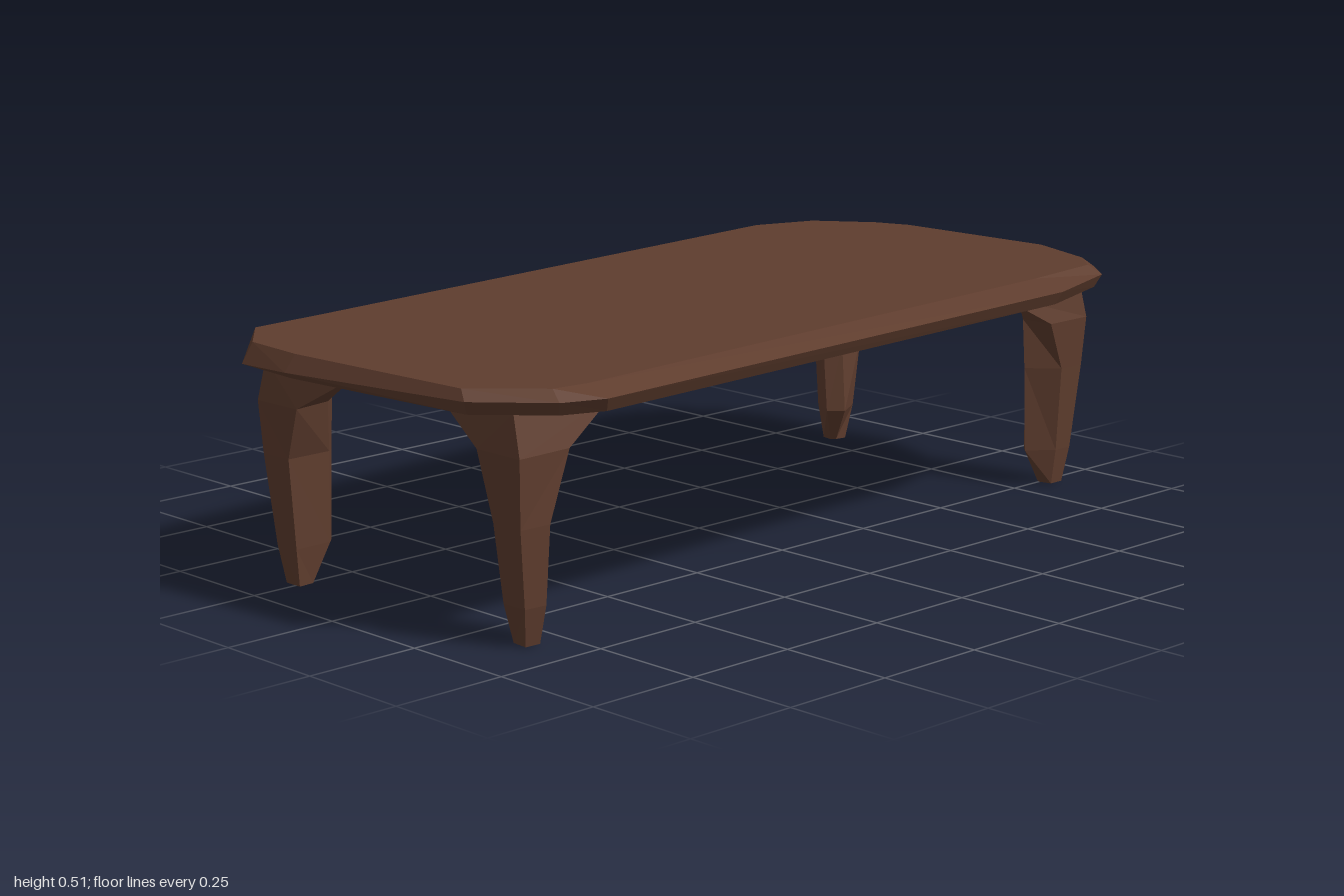
import * as THREE from 'three';

const wood = new THREE.MeshStandardMaterial({ color: 0x5f3d2e });
wood.name = 'dark brown wood';

// Skins a stack of equal-length rings (bottom to top) and caps both ends, flat shaded.
// Each ring is { y, points: [[x, z], ...] }, a point's third value overriding its height;
// flip is for rings that run the other way round.
function loft(rings, flip) {
  const positions = [];
  const tri = (a, b, c) => positions.push(...a, ...(flip ? c : b), ...(flip ? b : c));
  const loops = rings.map(({ y, points }) => points.map(([x, z, h = y]) => [x, h, z]));
  const n = loops[0].length;
  const centre = (loop) => [0, 1, 2].map((k) => loop.reduce((s, p) => s + p[k], 0) / n);
  const bottom = loops[0], top = loops[loops.length - 1];
  const low = centre(bottom), high = centre(top);
  for (let i = 0; i < n; i++) {
    const j = (i + 1) % n;
    for (let k = 0; k < loops.length - 1; k++) {
      const lo = loops[k], hi = loops[k + 1];
      tri(lo[i], hi[i], hi[j]);
      tri(lo[i], hi[j], lo[j]);
    }
    tri(low, bottom[i], bottom[j]);
    tri(high, top[j], top[i]);
  }
  const geometry = new THREE.BufferGeometry();
  geometry.setAttribute('position', new THREE.Float32BufferAttribute(positions, 3));
  geometry.computeVertexNormals();
  return geometry;
}

// Leg section: end of the side face, outer ridge, end of the long face, then the flat inner face.
// At the top the two face ends spread into brackets.
const section = (y, ...points) => ({ y, points });

// Front left leg
const legA = [
  section(0, [0.878, 0.237], [0.878, 0.28], [0.842, 0.28], [0.835, 0.25], [0.842, 0.24]),
  section(0.08, [0.887, 0.233], [0.89, 0.291], [0.842, 0.291], [0.788, 0.246], [0.8, 0.234]),
  section(0.27, [0.903, 0.23], [0.908, 0.304], [0.84, 0.304], [0.785, 0.242], [0.8, 0.23]),
  section(0.38, [0.91, 0.19], [0.913, 0.312], [0.79, 0.312], [0.788, 0.232], [0.82, 0.205]),
  section(0.463, [0.885, 0.04], [0.9, 0.3], [0.635, 0.29], [0.73, 0.26], [0.84, 0.16]),
  section(0.48, [0.88, 0.02], [0.89, 0.29], [0.61, 0.28], [0.72, 0.255], [0.84, 0.15]),
];

// Back left leg
const legB = [
  section(0, [0.835, -0.352], [0.838, -0.39], [0.803, -0.392], [0.798, -0.366], [0.808, -0.356]),
  section(0.08, [0.853, -0.345], [0.853, -0.406], [0.802, -0.41], [0.755, -0.337], [0.785, -0.307]),
  section(0.24, [0.869, -0.337], [0.872, -0.418], [0.799, -0.42], [0.757, -0.352], [0.79, -0.322]),
  section(0.38, [0.88, -0.305], [0.88, -0.427], [0.75, -0.422], [0.75, -0.35], [0.8, -0.305]),
  section(0.463, [0.855, -0.16], [0.872, -0.402], [0.602, -0.392], [0.72, -0.365], [0.84, -0.25]),
  section(0.48, [0.85, -0.135], [0.865, -0.395], [0.58, -0.385], [0.71, -0.36], [0.835, -0.24]),
];

// Table top outline at its widest (lower at the back right corner), and the bevelled upper edge
const rim = [
  [0.97, -0.28], [1, 0.13], [0.94, 0.31], [0.88, 0.38], [0.66, 0.45],
  [-0.75, 0.525], [-0.84, 0.49], [-0.96, 0.36], [-1, -0.13, 0.475], [-0.99, -0.28, 0.468],
  [-0.89, -0.39, 0.468], [-0.68, -0.445, 0.468], [0.74, -0.53], [0.86, -0.475], [0.94, -0.35],
];
const upper = [
  [0.96, -0.27], [0.98, 0.12], [0.92, 0.29], [0.86, 0.355], [0.65, 0.38],
  [-0.75, 0.47], [-0.83, 0.46], [-0.95, 0.34], [-0.98, -0.12], [-0.97, -0.27],
  [-0.88, -0.38], [-0.68, -0.395], [0.7, -0.52], [0.84, -0.47], [0.93, -0.35],
];
const inset = (sx, sz) => rim.map(([x, z]) => [x * sx, z * sz]);

export function createModel() {
  const group = new THREE.Group();
  group.name = 'lowTable';
  const add = (name, geometry, turn = 0, x = 0, z = 0) => {
    const mesh = new THREE.Mesh(geometry, wood);
    mesh.name = name;
    mesh.rotation.y = turn;
    mesh.position.set(x, 0, z);
    group.add(mesh);
  };

  // Table top, its underside slightly recessed behind the lip
  add('tableTop', loft([
    { y: 0.476, points: inset(0.965, 0.94) },
    { y: 0.462, points: inset(0.985, 0.97) },
    { y: 0.49, points: rim },
    { y: 0.511, points: upper },
  ], false));

  // Each leg repeats on the opposite corner, half a turn around
  const a = loft(legA, false), b = loft(legB, true);
  add('frontLeftLeg', a);
  add('backRightLeg', a, Math.PI, -0.017);
  add('backLeftLeg', b);
  add('frontRightLeg', b, Math.PI, -0.008, 0.004);
  return group;
}
